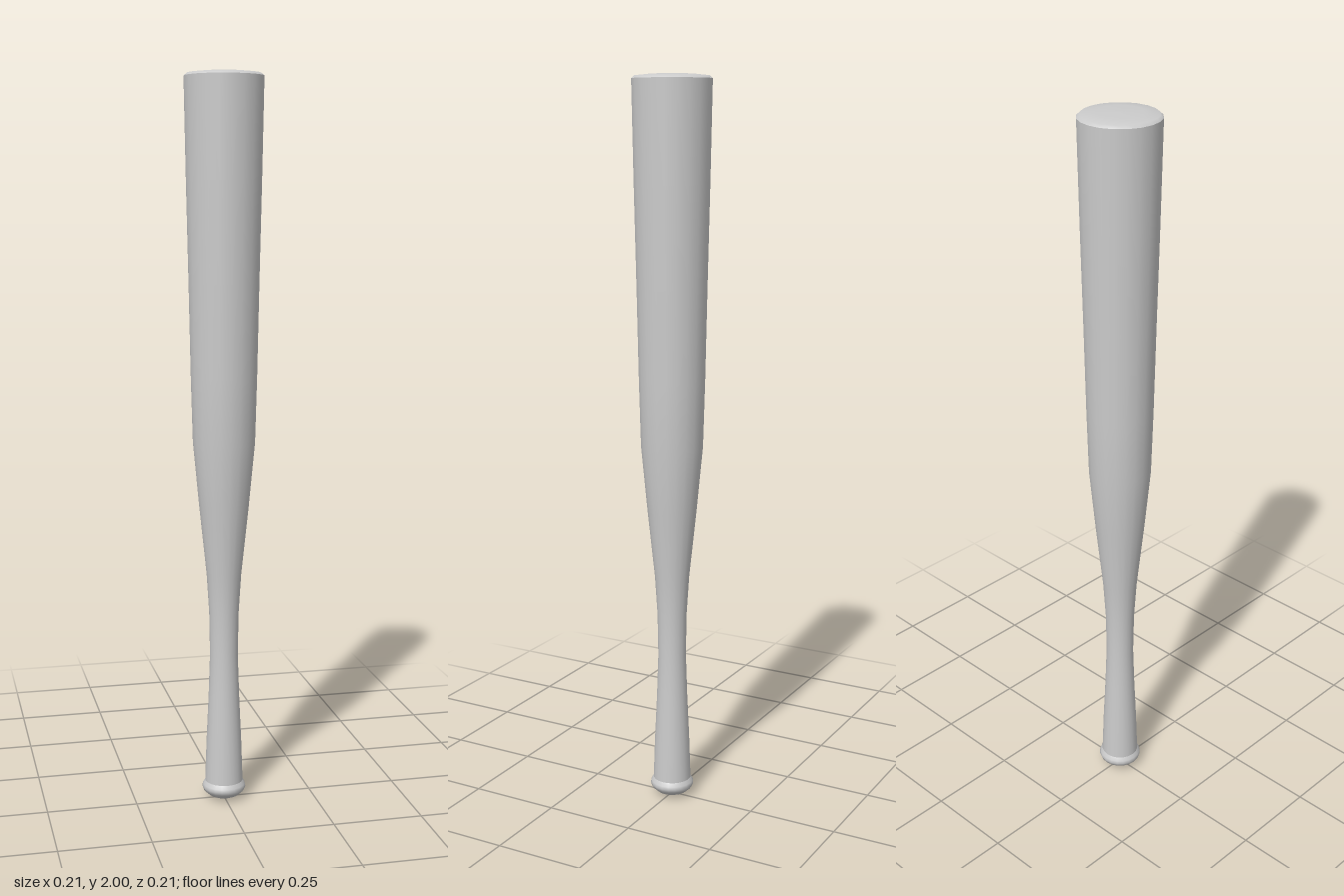
import * as THREE from 'three';

const SIDES = 20;

// Turns a [radius, height] profile, listed from bottom to top, into a smooth named part
function turned(name, profile, material) {
  const points = profile.map(([r, y]) => new THREE.Vector2(r, y));
  const mesh = new THREE.Mesh(new THREE.LatheGeometry(points, SIDES), material);
  mesh.name = name;
  return mesh;
}

export function createModel() {
  const model = new THREE.Group();
  model.name = 'bat';
  const grey = new THREE.MeshStandardMaterial({ color: 0xcccccc });

  // Rounded knob at the foot, flaring out past the handle
  model.add(turned('knob', [
    [0, 0], [0.025, 0.003], [0.044, 0.012], [0.057, 0.024],
    [0.061, 0.034], [0.059, 0.042], [0.053, 0.052],
  ], grey));

  // Handle narrowing to the grip, then swelling into the long barrel
  model.add(turned('handleAndBarrel', [
    [0.053, 0.052], [0.049, 0.17], [0.043, 0.3], [0.039, 0.42],
    [0.041, 0.54], [0.048, 0.65], [0.068, 0.84], [0.085, 1.02],
    [0.09, 1.2], [0.095, 1.45], [0.101, 1.72], [0.106, 1.988],
  ], grey));

  // Slightly domed end of the barrel
  model.add(turned('endCap', [
    [0.106, 1.988], [0.098, 1.995], [0.06, 1.999], [0, 2],
  ], grey));

  return model;
}
